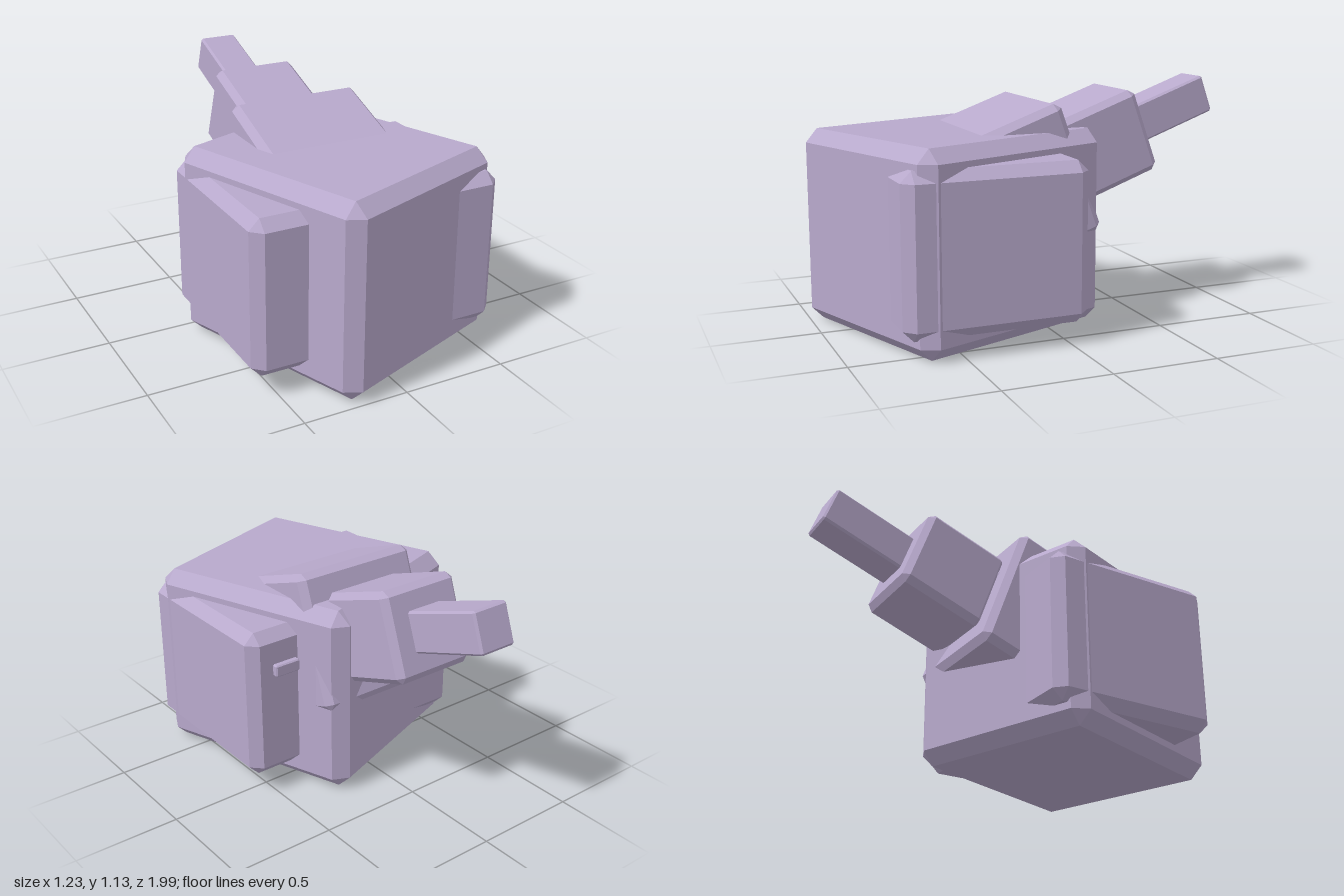
import * as THREE from 'three';
import { ConvexGeometry } from 'three/addons/geometries/ConvexGeometry.js';

const stone = new THREE.MeshStandardMaterial({ color: 0xb8a9cc });
stone.name = 'lilac stone';

// Box with every edge cut by a flat chamfer c
function chamferBox(w, h, d, c) {
  const half = [w / 2, h / 2, d / 2];
  const points = [];
  for (const sx of [-1, 1]) for (const sy of [-1, 1]) for (const sz of [-1, 1]) {
    for (let face = 0; face < 3; face++) {
      const p = half.map((v, i) => (i === face ? v : v - c));
      points.push(new THREE.Vector3(sx * p[0], sy * p[1], sz * p[2]));
    }
  }
  return new ConvexGeometry(points);
}

export function createModel() {
  const model = new THREE.Group();
  model.name = 'blockCluster';
  const tilt = THREE.MathUtils.degToRad(20);

  function addBlock(name, [w, h, d], chamfer, [x, y, z]) {
    const mesh = new THREE.Mesh(chamferBox(w, h, d, chamfer), stone);
    mesh.name = name;
    mesh.position.set(x, y, z);
    model.add(mesh);
    return mesh;
  }

  // Large turned block with a straight block pushed through it
  addBlock('mainBlock', [0.972, 0.92, 1.062], 0.062, [0, 0.46, 0.35]).rotation.y = tilt;
  addBlock('crossBlock', [1.226, 0.736, 0.86], 0.05, [0, 0.463, 0.345]);

  // Rising tail of three shrinking blocks, each placed by the centre of its end face
  const tail = [
    ['tailBase', 0.65, 0.60, 0.032, 0.752, -0.175],
    ['tailMiddle', 0.418, 0.44, 0.03, 0.895, -0.572],
    ['tailTip', 0.19, 0.60, 0.01, 1.04, -0.967],
  ];
  for (const [name, size, length, chamfer, endY, endZ] of tail) {
    const y = endY - Math.sin(tilt) * length / 2;
    const z = endZ + Math.cos(tilt) * length / 2;
    addBlock(name, [size, size, length], chamfer, [0, y, z]).rotation.x = tilt;
  }

  // Small bar on the back of the cross block
  addBlock('backBar', [0.13, 0.058, 0.06], 0.006, [0.43, 0.643, -0.083]);

  return model;
}
